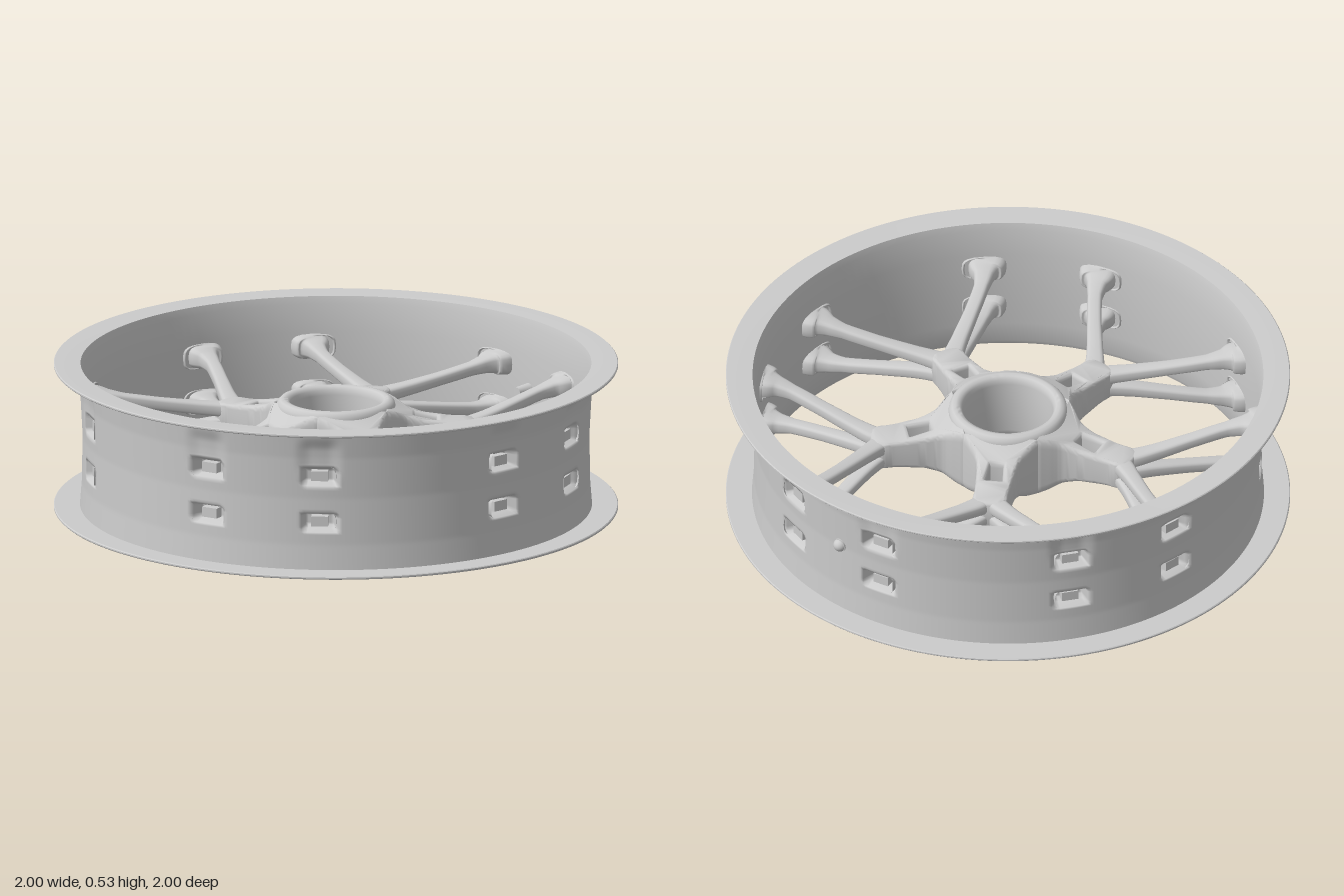
import * as THREE from 'three';
import { toCreasedNormals } from 'three/addons/utils/BufferGeometryUtils.js';

const MID = 0.265;        // mid height of the wheel
const LAYER = 0.083;      // offset of the two arm layers at the rim
const BASE = THREE.MathUtils.degToRad(29.3);
const STEP = Math.PI * 2 / 5;
const HALF = THREE.MathUtils.degToRad(22.6);
const material = new THREE.MeshStandardMaterial({ color: 0xcccccc });
const V2 = (x, y) => new THREE.Vector2(x, y);

function add(parent, name, geometry) {
  const mesh = new THREE.Mesh(geometry, material);
  mesh.name = name;
  parent.add(mesh);
  return mesh;
}

// Linear interpolation through [position, value] pairs
function ramp(pairs, x) {
  for (let i = 1; i < pairs.length; i++) {
    const [x0, y0] = pairs[i - 1], [x1, y1] = pairs[i];
    if (x <= x1) return THREE.MathUtils.lerp(y0, y1, Math.max(0, (x - x0) / (x1 - x0)));
  }
  return pairs[pairs.length - 1][1];
}

const padAngles = [];
for (let k = 0; k < 5; k++) padAngles.push(BASE + k * STEP - HALF, BASE + k * STEP + HALF);

// 1 inside the half width, fading to 0 at its edge
const within = (d, half, soft) => 1 - THREE.MathUtils.smoothstep(Math.abs(d), half - soft, half);

// Outer barrel wall, pressed in at the arm sockets
function barrelGeometry() {
  const radius = [[0, 0.908], [0.1, 0.9], [0.27, 0.898], [0.42, 0.906], [0.53, 0.92]];
  const points = [];
  for (let i = 0; i <= 60; i++) {
    const y = 0.01 + 0.51 * i / 60;
    points.push(V2(ramp(radius, y), y));
  }
  const geo = new THREE.LatheGeometry(points, 540);
  const p = geo.attributes.position;
  for (let i = 0; i < p.count; i++) {
    const x = p.getX(i), y = p.getY(i), z = p.getZ(i);
    const a = Math.atan2(z, x);
    let dent = 0;
    for (const pad of padAngles) {
      const t = 0.9 * Math.atan2(Math.sin(a - pad), Math.cos(a - pad));
      const socket = 0.05 * within(t, 0.066, 0.012) * within(Math.abs(y - MID) - LAYER, 0.034, 0.011);
      const hollow = 0.012 * within(t, 0.09, 0.06) * within(y - 0.42, 0.085, 0.06);
      dent = Math.max(dent, socket, hollow);
    }
    const s = 1 - dent / Math.hypot(x, z);
    p.setXYZ(i, x * s, y, z * s);
  }
  geo.computeVertexNormals();
  return geo;
}

// Flanges and inner barrel wall
function flangeGeometry() {
  const points = [
    [0.915, 0.519], [0.997, 0.519], [1, 0.522], [1, 0.527], [0.997, 0.53], [0.975, 0.53], [0.905, 0.527],
    [0.898, 0.5], [0.889, 0.4], [0.885, 0.27], [0.887, 0.1], [0.893, 0.02],
    [0.9, 0.003], [0.975, 0], [0.997, 0], [1, 0.003], [1, 0.008], [0.997, 0.011], [0.9, 0.011],
  ].map(([r, y]) => V2(r, y));
  return toCreasedNormals(new THREE.LatheGeometry(points, 160), 0.6);
}

// Open hub ring with rounded lips
function hubGeometry() {
  const half = [
    [0.207, 0], [0.208, 0.06], [0.212, 0.1], [0.208, 0.118], [0.198, 0.129],
    [0.184, 0.133], [0.171, 0.129], [0.163, 0.118], [0.16, 0.1], [0.16, 0],
  ];
  const lower = half.slice(1, -1).reverse().map(([r, y]) => [r, -y]);
  const points = [...half, ...lower, half[0]].map(([r, y]) => V2(r, y + MID));
  return toCreasedNormals(new THREE.LatheGeometry(points, 80), 0.9);
}

// Spoke trunk: flared plan outline with a window, thinning away from the hub
function trunkGeometry() {
  const side = [[0.18, 0.125], [0.21, 0.1], [0.245, 0.073], [0.29, 0.06], [0.36, 0.053], [0.42, 0.049], [0.455, 0.05], [0.48, 0.04]];
  const shape = new THREE.Shape();
  shape.moveTo(side[0][0], -side[0][1]);
  shape.splineThru(side.slice(1).map(([x, w]) => V2(x, -w)));
  shape.splineThru([V2(0.483, 0), V2(0.48, 0.04)]);
  shape.splineThru(side.slice(0, -1).reverse().map(([x, w]) => V2(x, w)));
  const hole = new THREE.Path();
  hole.moveTo(0.268, -0.025);
  hole.lineTo(0.268, 0.025);
  hole.quadraticCurveTo(0.268, 0.034, 0.28, 0.035);
  hole.lineTo(0.355, 0.042);
  hole.quadraticCurveTo(0.368, 0.042, 0.368, 0.03);
  hole.lineTo(0.368, -0.03);
  hole.quadraticCurveTo(0.368, -0.042, 0.355, -0.042);
  hole.lineTo(0.28, -0.035);
  hole.quadraticCurveTo(0.268, -0.034, 0.268, -0.025);
  shape.holes.push(hole);
  const geo = new THREE.ExtrudeGeometry(shape, {
    depth: 0.1, bevelThickness: 0.02, bevelSize: 0.012, bevelSegments: 4, curveSegments: 5,
  });
  geo.translate(0, 0, -0.05).rotateX(-Math.PI / 2);
  const height = [[0.17, 0.122], [0.21, 0.108], [0.25, 0.085], [0.31, 0.066], [0.4, 0.056], [0.5, 0.052]];
  const p = geo.attributes.position;
  for (let i = 0; i < p.count; i++) p.setY(i, MID + p.getY(i) * ramp(height, p.getX(i)) / 0.07);
  return toCreasedNormals(geo, 0.8);
}

// Spoke arm: rounded section swept from the fork to a flared pad on the rim
function armGeometry(side, level) {
  const endX = 0.888 * Math.cos(HALF), endZ = 0.888 * Math.sin(HALF);
  // x, z, height offset, half width, half height
  const stations = [
    [0.42, 0.0, 0.022, 0.035, 0.026], [0.47, 0.03, 0.026, 0.036, 0.026],
    [0.53, 0.085, 0.034, 0.03, 0.024], [0.63, 0.185, 0.054, 0.026, 0.022],
    [0.725, 0.275, 0.074, 0.026, 0.023], [0.77, 0.309, 0.081, 0.036, 0.029],
    [0.8, 0.327, LAYER, 0.056, 0.037], [endX - 0.008, endZ - 0.003, LAYER, 0.072, 0.042],
    [endX, endZ, LAYER, 0.085, 0.046],
  ];
  const curve = new THREE.CatmullRomCurve3(stations.map(([x, z, y]) => new THREE.Vector3(x, MID + level * y, side * z)));
  const rows = 32, n = 20, up = new THREE.Vector3(0, 1, 0);
  const pos = [], index = [];
  for (let i = 0; i <= rows; i++) {
    const u = i / rows;
    const c = curve.getPoint(u);
    const across = curve.getTangent(u).cross(up).normalize();
    const s = u * (stations.length - 1);
    const w = ramp(stations.map((st, j) => [j, st[3]]), s);
    const h = ramp(stations.map((st, j) => [j, st[4]]), s);
    for (let j = 0; j < n; j++) {
      const a = j / n * Math.PI * 2;
      const round = (v) => Math.sign(v) * Math.abs(v) ** 0.6;
      const q = c.clone().addScaledVector(across, w * round(Math.cos(a))).addScaledVector(up, h * round(Math.sin(a)));
      pos.push(q.x, q.y, q.z);
      if (i < rows) {
        const k = i * n + j, m = i * n + (j + 1) % n;
        index.push(k, k + n, m, m, k + n, m + n);
      }
    }
  }
  const geo = new THREE.BufferGeometry();
  geo.setAttribute('position', new THREE.Float32BufferAttribute(pos, 3));
  geo.setIndex(index);
  geo.computeVertexNormals();
  return geo;
}

export function createModel() {
  const wheel = new THREE.Group();
  wheel.name = 'wheelRim';
  add(wheel, 'outerBarrel', barrelGeometry());
  add(wheel, 'flangesAndInnerBarrel', flangeGeometry());
  add(wheel, 'hub', hubGeometry());

  // Five forked spokes, each with an upper and lower pair of arms
  const trunk = trunkGeometry();
  const lug = new THREE.BoxGeometry(0.04, 0.036, 0.06);
  for (let k = 0; k < 5; k++) {
    const spoke = new THREE.Group();
    spoke.name = 'spoke' + (k + 1);
    spoke.rotation.y = -(BASE + k * STEP);
    add(spoke, 'spokeTrunk', trunk);
    for (const side of [-1, 1]) for (const level of [-1, 1]) {
      add(spoke, 'spokeArm', armGeometry(side, level));
      const block = add(spoke, 'socketLug', lug);
      block.position.set(0.862 * Math.cos(HALF), MID + level * LAYER, side * 0.862 * Math.sin(HALF));
      block.rotation.y = -side * HALF;
    }
    wheel.add(spoke);
  }

  // Valve: stem inside the barrel, round head outside
  const valve = new THREE.Group();
  valve.name = 'valve';
  valve.rotation.y = Math.atan2(0.9, 0.135);
  valve.position.y = 0.275;
  const stem = add(valve, 'valveStem', new THREE.CylinderGeometry(0.026, 0.018, 0.075, 20));
  stem.rotation.z = -Math.PI / 2;
  stem.position.x = 0.868;
  const head = add(valve, 'valveHead', new THREE.SphereGeometry(0.024, 20, 14));
  head.position.x = 0.9;
  wheel.add(valve);
  return wheel;
}
